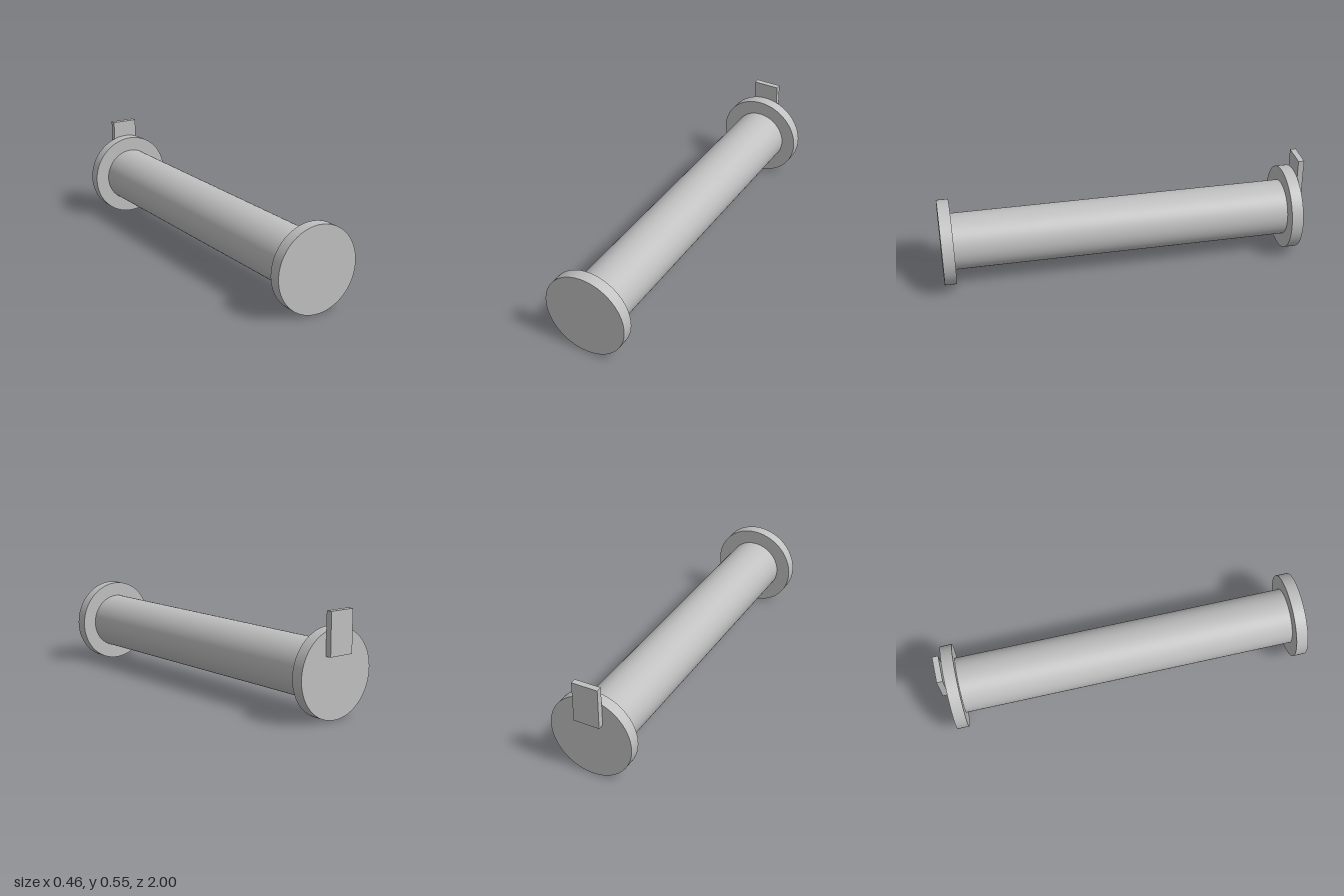
import * as THREE from 'three';

const RADIUS = 0.231; // flange radius, also the height of the axis

export function createModel() {
  const model = new THREE.Group();
  model.name = 'flangedPin';
  const grey = new THREE.MeshStandardMaterial({ color: 0xc0c0c0 });
  grey.name = 'plain grey';

  // Solid disc or rod lying along z between two depths
  function rod(name, radius, zBack, zFront) {
    const geometry = new THREE.CylinderGeometry(radius, radius, zFront - zBack, 96);
    geometry.rotateX(Math.PI / 2);
    const mesh = new THREE.Mesh(geometry, grey);
    mesh.name = name;
    mesh.position.set(0, RADIUS, (zBack + zFront) / 2);
    model.add(mesh);
  }

  rod('shaft', 0.153, -0.903, 0.9355);
  rod('frontFlange', RADIUS, 0.9355, 1);
  rod('backFlange', RADIUS, -0.9675, -0.903);

  // Flat tab on the rear face, rising above the flange
  const tab = new THREE.Mesh(new THREE.BoxGeometry(0.145, 0.225, 0.0325), grey);
  tab.name = 'backTab';
  tab.position.set(0, 0.44, -0.98375);
  model.add(tab);

  return model;
}
